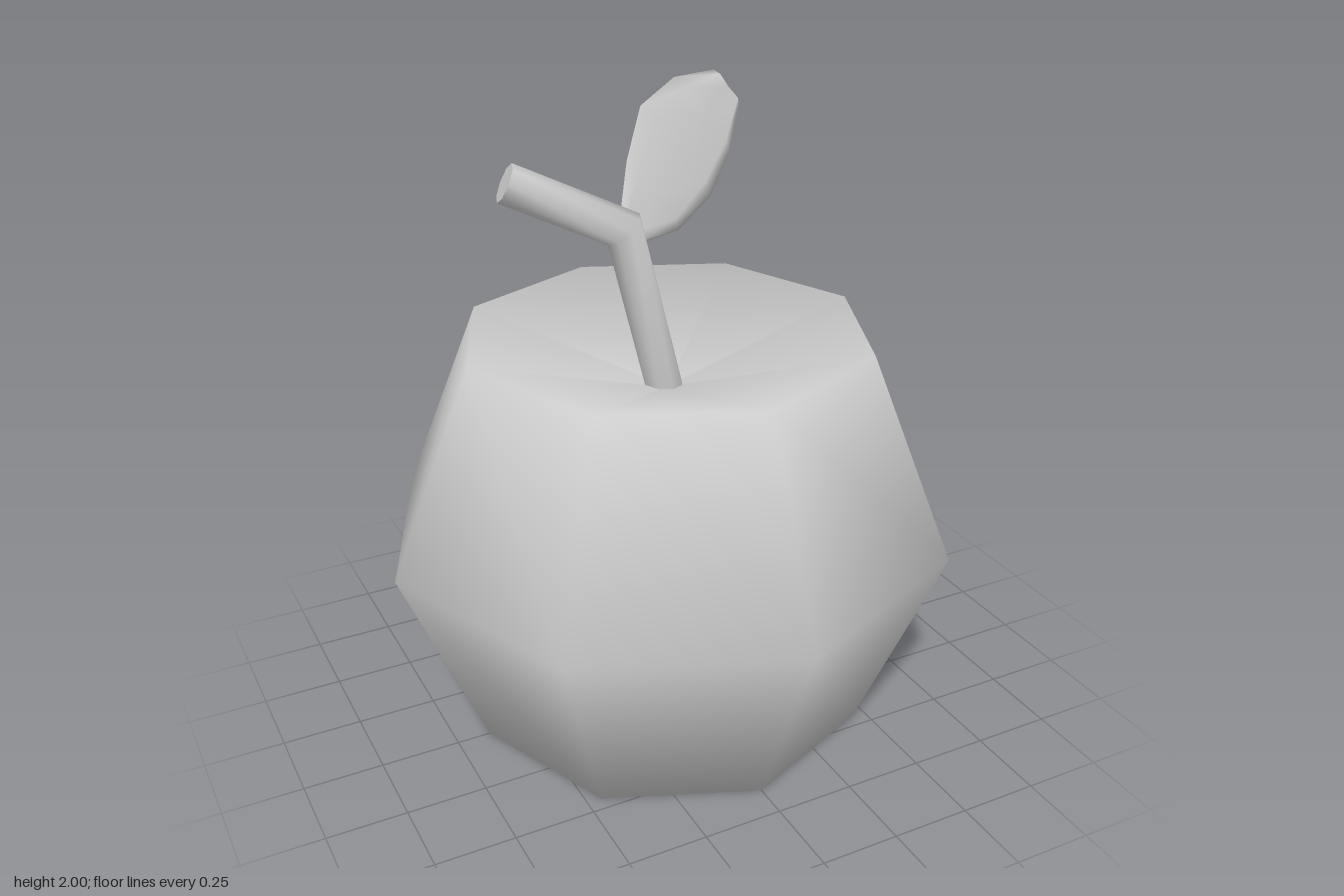
import * as THREE from 'three';

const V = (x, y, z) => new THREE.Vector3(x, y, z);

// Skin a list of equal-length rings (counter-clockwise about the path) and close both ends
function loft(rings) {
  const n = rings[0].length, pos = [], idx = [];
  rings.forEach(r => r.forEach(p => pos.push(p.x, p.y, p.z)));
  for (let i = 0; i < rings.length - 1; i++) {
    for (let j = 0; j < n; j++) {
      const a = i * n + j, b = i * n + (j + 1) % n;
      idx.push(a, b, b + n, a, b + n, a + n);
    }
  }
  const last = (rings.length - 1) * n;
  // end caps with their own vertices, so their rims stay sharp
  const cap = (ring, flip) => {
    const s = pos.length / 3;
    ring.forEach(p => pos.push(p.x, p.y, p.z));
    for (let j = 1; j < n - 1; j++) idx.push(s, s + (flip ? j + 1 : j), s + (flip ? j : j + 1));
  };
  cap(rings[0], true);
  cap(rings[last / n], false);
  const g = new THREE.BufferGeometry();
  g.setAttribute('position', new THREE.Float32BufferAttribute(pos, 3));
  g.setIndex(idx);
  g.computeVertexNormals();
  return g;
}

// Bent stem with a mitred joint
function stemGeometry(radius, sides) {
  const a = V(0, 1.07, 0), b = V(-0.14, 1.63, 0), c = V(-0.47, 1.79, -0.085);
  const d1 = b.clone().sub(a).normalize(), d2 = c.clone().sub(b).normalize();
  const u = V(0, 0, 1).cross(d1).normalize(), w = d1.clone().cross(u);
  const slide = (p, dir, point, normal) =>
    p.clone().addScaledVector(dir, point.clone().sub(p).dot(normal) / dir.dot(normal));
  const rings = [[], [], []], mitre = d1.clone().add(d2).normalize();
  for (let i = 0; i < sides; i++) {
    const t = (i / sides) * Math.PI * 2;
    const p = a.clone().addScaledVector(u, radius * Math.cos(t)).addScaledVector(w, radius * Math.sin(t));
    const q = slide(p, d1, b, mitre);
    rings[0].push(p);
    rings[1].push(q);
    rings[2].push(slide(q, d2, c, d2));
  }
  return loft(rings);
}

// Thin tilted leaf: upper edge, lower edge and half thickness at each station
function leafGeometry() {
  const stations = [
    [-0.14, 1.64, -0.08, 1.57, 0.02],
    [-0.08, 1.80, 0.07, 1.58, 0.03],
    [0.00, 1.94, 0.21, 1.65, 0.032],
    [0.14, 2.00, 0.31, 1.76, 0.03],
    [0.295, 2.00, 0.375, 1.89, 0.018],
  ];
  // across the blade: position from upper to lower edge, and side of the blade
  const section = [[0, 0], [0.15, -0.8], [0.5, -1], [0.85, -0.8], [1, 0], [0.85, 0.8], [0.5, 0.5], [0.15, 0.8]];
  const normal = V(0.24, 0.36, 1).normalize();
  return loft(stations.map(([ux, uy, lx, ly, h]) => section.map(([t, s]) => {
    const x = ux + (lx - ux) * t, y = uy + (ly - uy) * t;
    return V(x, y, -0.025 - 0.24 * (x + 0.12) - 0.36 * (y - 1.61)).addScaledVector(normal, h * s);
  }).reverse()));
}

export function createModel() {
  const group = new THREE.Group();
  const material = new THREE.MeshStandardMaterial({ color: 0xcccccc, side: THREE.DoubleSide });
  const add = (name, geometry) => {
    const mesh = new THREE.Mesh(geometry, material);
    mesh.name = name;
    group.add(mesh);
  };

  // Eight-sided fruit with a flat base and a dimple at the top
  const profile = [[0, 0], [0.643, 0], [0.908, 0.645], [0.643, 1.288], [0, 1.1]];
  add('fruit', new THREE.LatheGeometry(profile.map(([r, y]) => new THREE.Vector2(r, y)), 8));
  add('stem', stemGeometry(0.06, 8));
  add('leaf', leafGeometry());
  return group;
}
